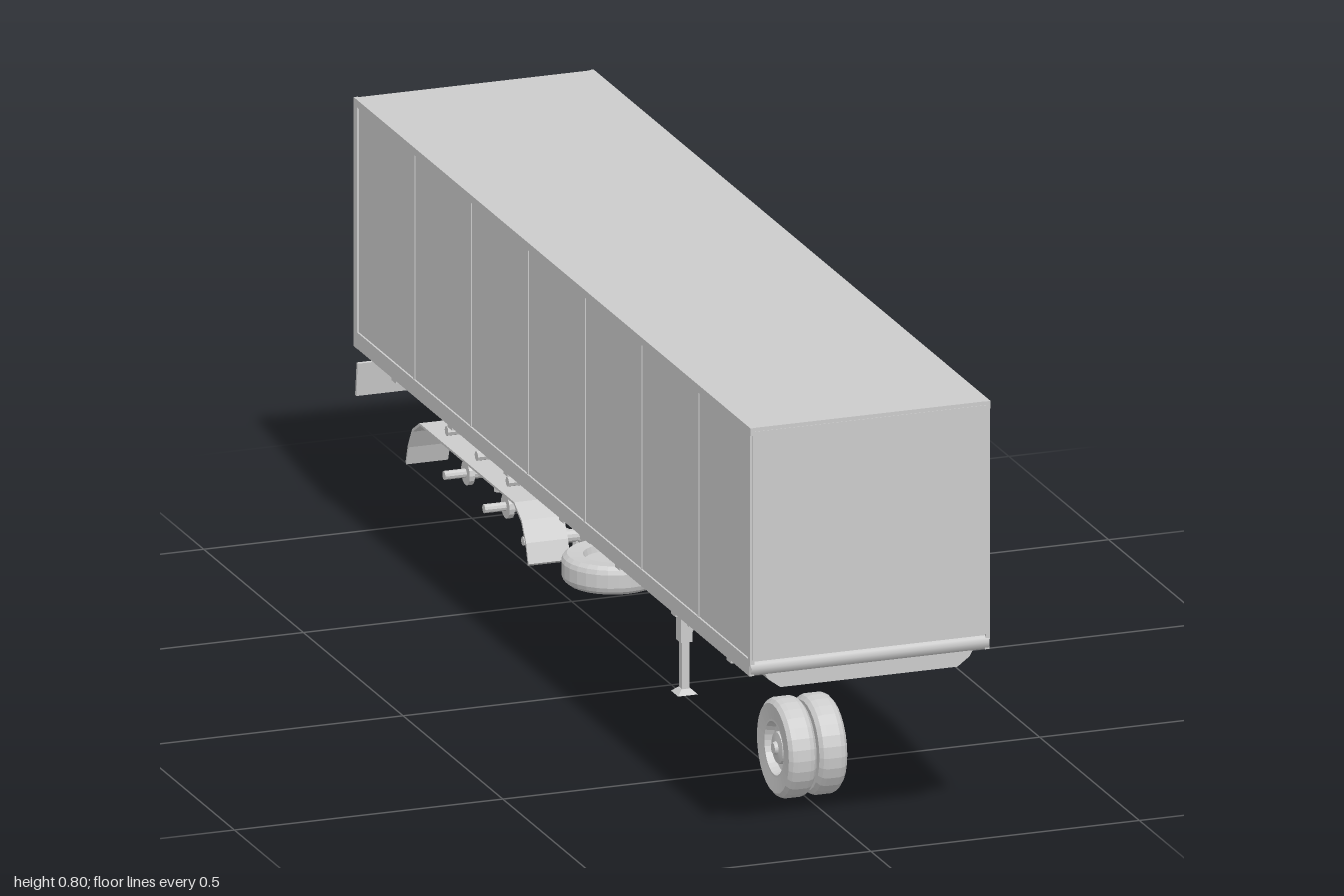
import * as THREE from 'three';

const mat = new THREE.MeshStandardMaterial({ color: 0xcccccc, flatShading: true });
const smooth = new THREE.MeshStandardMaterial({ color: 0xcccccc, side: THREE.DoubleSide });
const V = (x, y, z) => new THREE.Vector3(x, y, z);

function add(parent, name, geo, x = 0, y = 0, z = 0, material = mat) {
  const m = new THREE.Mesh(geo, material);
  m.name = name;
  m.position.set(x, y, z);
  parent.add(m);
  return m;
}

function box(parent, name, w, h, d, x, y, z) {
  return add(parent, name, new THREE.BoxGeometry(w, h, d), x, y, z);
}

// Round bar between two points
function rod(parent, name, a, b, r, sides = 8) {
  const dir = b.clone().sub(a);
  const m = add(parent, name, new THREE.CylinderGeometry(r, r, dir.length(), sides));
  m.position.copy(a).add(b).multiplyScalar(0.5);
  m.quaternion.setFromUnitVectors(V(0, 1, 0), dir.normalize());
  return m;
}

// Side profile given as [z, y] points, extruded across x and centred on it
function sideProfile(points, width) {
  const shape = new THREE.Shape(points.map(p => new THREE.Vector2(p[0], p[1])));
  const g = new THREE.ExtrudeGeometry(shape, { depth: width, bevelEnabled: false });
  return g.translate(0, 0, -width / 2).rotateY(-Math.PI / 2);
}

// Tyre with dished rim; the axis runs along y and the dish faces +y
function wheel(parent, name) {
  const g = new THREE.Group();
  g.name = name;
  const tyre = [[0.052, -0.024], [0.08, -0.026], [0.087, -0.02], [0.09, -0.012], [0.09, 0.012],
    [0.087, 0.02], [0.08, 0.026], [0.052, 0.024]];
  const rim = [[0, -0.012], [0.05, -0.012], [0.053, -0.024], [0.053, 0.024], [0.048, 0.024],
    [0.044, 0.008], [0.03, 0.006], [0.028, 0.018], [0.012, 0.02], [0.01, 0.026], [0, 0.026]];
  const lathe = pts => new THREE.LatheGeometry(pts.map(p => new THREE.Vector2(p[0], p[1])), 28);
  const flat = mat.clone();
  flat.side = THREE.DoubleSide;
  add(g, 'tyre', lathe(tyre), 0, 0, 0, flat);
  add(g, 'rim', lathe(rim), 0, 0, 0, flat);
  parent.add(g);
  return g;
}

function cargoBox(root) {
  const g = new THREE.Group();
  g.name = 'cargoBox';
  root.add(g);
  box(g, 'cargoBody', 0.44, 0.45, 1.97, 0, 0.575, 0.007);
  box(g, 'roof', 0.44, 0.008, 1.986, 0, 0.799, 0.004);
  box(g, 'frontWall', 0.44, 0.42, 0.008, 0, 0.586, 0.994);
  const sill = new THREE.CylinderGeometry(0.016, 0.016, 0.444, 12).rotateZ(Math.PI / 2);
  add(g, 'frontSill', sill, 0, 0.36, 0.982, smooth);
  for (const s of [-1, 1]) {
    box(g, 'topRail', 0.008, 0.014, 1.99, s * 0.2195, 0.796, 0.003);
    box(g, 'bottomRail', 0.008, 0.03, 1.98, s * 0.2195, 0.361, 0.003);
    box(g, 'frontPost', 0.008, 0.43, 0.012, s * 0.2195, 0.58, 0.99);
    box(g, 'rearPost', 0.012, 0.455, 0.018, s * 0.2175, 0.573, -0.984);
    // Panel seams, evenly spaced
    for (let i = 0; i < 6; i++)
      box(g, 'panelSeam', 0.003, 0.412, 0.006, s * 0.2205, 0.582, 0.73 - i * 0.285);
    for (let i = 0; i < 7; i++)
      box(g, 'sideLamp', 0.006, 0.008, 0.022, s * 0.217, 0.342, 0.88 - i * 0.28);
  }
}

function rearDoors(root) {
  const g = new THREE.Group();
  g.name = 'rearDoors';
  root.add(g);
  box(g, 'doorHeader', 0.43, 0.016, 0.018, 0, 0.793, -0.984);
  box(g, 'doorSill', 0.43, 0.024, 0.018, 0, 0.357, -0.984);
  for (const s of [-1, 1]) {
    box(g, 'door', 0.206, 0.41, 0.008, s * 0.105, 0.578, -0.982);
    for (const y of [0.43, 0.53, 0.63, 0.73])
      box(g, 'hinge', 0.02, 0.014, 0.006, s * 0.206, y, -0.991);
    for (const x of [0.045, 0.115]) {
      rod(g, 'lockRod', V(s * x, 0.36, -0.991), V(s * x, 0.795, -0.991), 0.004);
      for (const y of [0.365, 0.46, 0.58, 0.70, 0.785])
        box(g, 'rodKeeper', 0.018, 0.014, 0.008, s * x, y, -0.99);
      rod(g, 'lockHandle', V(s * (x - 0.015), 0.462, -0.994), V(s * (x + 0.045), 0.462, -0.994), 0.0035);
    }
    // Bumper hangers and lamps
    box(g, 'bumperHanger', 0.016, 0.07, 0.03, s * 0.1, 0.315, -0.955);
    box(g, 'tailLamp', 0.07, 0.018, 0.012, s * 0.16, 0.332, -0.978);
  }
  const bumper = box(g, 'rearBumper', 0.445, 0.062, 0.006, 0, 0.288, -0.981);
  bumper.rotation.x = 0.12;
}

function chassis(root) {
  const g = new THREE.Group();
  g.name = 'chassis';
  root.add(g);
  const web = [[0.97, 0.35], [0.97, 0.322], [0.53, 0.318], [0.27, 0.28], [-0.96, 0.28], [-0.96, 0.35]];
  const flange = [[0.53, 0.322], [0.53, 0.317], [0.27, 0.276], [-0.96, 0.276], [-0.96, 0.281], [0.27, 0.281]];
  for (const s of [-1, 1]) {
    add(g, 'railWeb', sideProfile(web, 0.007), s * 0.075);
    add(g, 'railFlange', sideProfile(flange, 0.03), s * 0.075);
  }
  for (let i = 0; i < 13; i++)
    box(g, 'floorBeam', 0.42, 0.014, 0.01, 0, 0.345, 0.46 - i * 0.115);
  for (const z of [0.45, 0.32, 0.18, 0.0, -0.14, -0.34, -0.54, -0.74, -0.92])
    box(g, 'crossMember', 0.15, 0.03, 0.012, 0, 0.314, z);
  // Coupling plate with bevelled sides and king pin
  const plate = new THREE.Shape([[-0.195, 0.35], [-0.188, 0.336], [-0.165, 0.319], [0.165, 0.319],
    [0.188, 0.336], [0.195, 0.35]].map(p => new THREE.Vector2(p[0], p[1])));
  add(g, 'couplingPlate', new THREE.ExtrudeGeometry(plate, { depth: 0.45, bevelEnabled: false }), 0, 0, 0.54);
  rod(g, 'kingPin', V(0, 0.28, 0.655), V(0, 0.32, 0.655), 0.009, 12);
  rod(g, 'kingPinFlange', V(0, 0.28, 0.655), V(0, 0.287, 0.655), 0.013, 12);
}

function landingGear(root) {
  const g = new THREE.Group();
  g.name = 'landingGear';
  root.add(g);
  for (const s of [-1, 1]) {
    const x = s * 0.093;
    box(g, 'legHousing', 0.022, 0.15, 0.024, x, 0.265, 0.315);
    box(g, 'legInner', 0.014, 0.1, 0.015, x, 0.15, 0.315);
    add(g, 'foot', new THREE.CylinderGeometry(0.012, 0.026, 0.009, 4, 1).rotateY(Math.PI / 4), x, 0.099, 0.315);
    rod(g, 'legBrace', V(x, 0.205, 0.315), V(s * 0.075, 0.285, 0.2), 0.003, 6);
    rod(g, 'legBrace', V(x, 0.205, 0.315), V(s * 0.075, 0.3, 0.375), 0.003, 6);
    rod(g, 'crossBrace', V(s * 0.085, 0.2, 0.315), V(s * 0.015, 0.315, 0.315), 0.004, 6);
  }
  rod(g, 'legShaft', V(-0.12, 0.295, 0.315), V(0.1, 0.295, 0.315), 0.005);
}

function runningGear(root) {
  const g = new THREE.Group();
  g.name = 'runningGear';
  root.add(g);
  for (const z of [-0.235, -0.43, -0.63]) {
    rod(g, 'axle', V(-0.15, 0.215, z), V(0.15, 0.215, z), 0.012, 12);
    for (const s of [-1, 1]) {
      rod(g, 'axleStub', V(s * 0.14, 0.215, z), V(s * 0.19, 0.215, z), 0.008, 10);
      rod(g, 'brakeFlange', V(s * 0.14, 0.215, z), V(s * 0.15, 0.215, z), 0.022, 14);
      // Tapered hanger, trailing arm and air spring
      const hanger = [[z + 0.125, 0.28], [z + 0.09, 0.205], [z + 0.055, 0.205], [z + 0.02, 0.28]];
      add(g, 'hanger', sideProfile(hanger.reverse(), 0.03), s * 0.085);
      rod(g, 'trailingArm', V(s * 0.085, 0.218, z + 0.07), V(s * 0.085, 0.2, z - 0.07), 0.007);
      const bag = new THREE.SphereGeometry(0.026, 14, 10).scale(1, 0.95, 1);
      add(g, 'airSpring', bag, s * 0.085, 0.245, z - 0.055, smooth);
      // Brake chamber and lever
      rod(g, 'brakeChamber', V(s * 0.052, 0.208, z + 0.01), V(s * 0.052, 0.208, z + 0.055), 0.017, 12);
      const lever = box(g, 'brakeLever', 0.006, 0.05, 0.014, s * 0.072, 0.187, z + 0.008);
      lever.rotation.x = 0.35;
      rod(g, 'axleClamp', V(s * 0.085, 0.175, z), V(s * 0.085, 0.232, z), 0.012, 8);
    }
  }
  // Long mudguards with curved ends
  const guard = [[-0.138, 0.205], [-0.15, 0.24], [-0.172, 0.275], [-0.21, 0.297], [-0.685, 0.297],
    [-0.722, 0.275], [-0.743, 0.24], [-0.755, 0.205]];
  const inner = guard.map(([z, y]) => [z + (-0.447 - z) * 0.012, y - 0.004]).reverse();
  for (const s of [-1, 1]) {
    add(g, 'mudguard', sideProfile([...guard, ...inner], 0.078), s * 0.176);
    for (const z of [-0.285, -0.44, -0.59])
      rod(g, 'mudguardBracket', V(s * 0.07, 0.31, z), V(s * 0.2, 0.31, z), 0.009, 8);
    rod(g, 'airTank', V(s * 0.145, 0.258, -0.72), V(s * 0.145, 0.258, -0.6), 0.012, 12);
  }
}

function wheels(root) {
  // Loose twin wheels below the coupling
  for (const s of [-1, 1]) {
    const w = wheel(root, 'twinWheel');
    w.position.set(s * 0.0285, 0.0915, 0.655);
    w.rotation.z = -s * Math.PI / 2;
    // Spare wheels lying flat under the frame
    const spare = wheel(root, 'spareWheel');
    spare.position.set(s * 0.093, 0.216, -0.045);
    spare.rotation.x = Math.PI;
    rod(root, 'spareHanger', V(s * 0.093, 0.22, -0.045), V(s * 0.093, 0.345, -0.045), 0.006);
    box(root, 'spareClamp', 0.045, 0.016, 0.03, s * 0.093, 0.262, -0.045);
  }
  box(root, 'spareCarrier', 0.28, 0.008, 0.025, 0, 0.27, -0.045);
}

export function createModel() {
  const root = new THREE.Group();
  root.name = 'boxTrailer';
  for (const build of [cargoBox, rearDoors, chassis, landingGear, runningGear, wheels]) build(root);
  return root;
}
